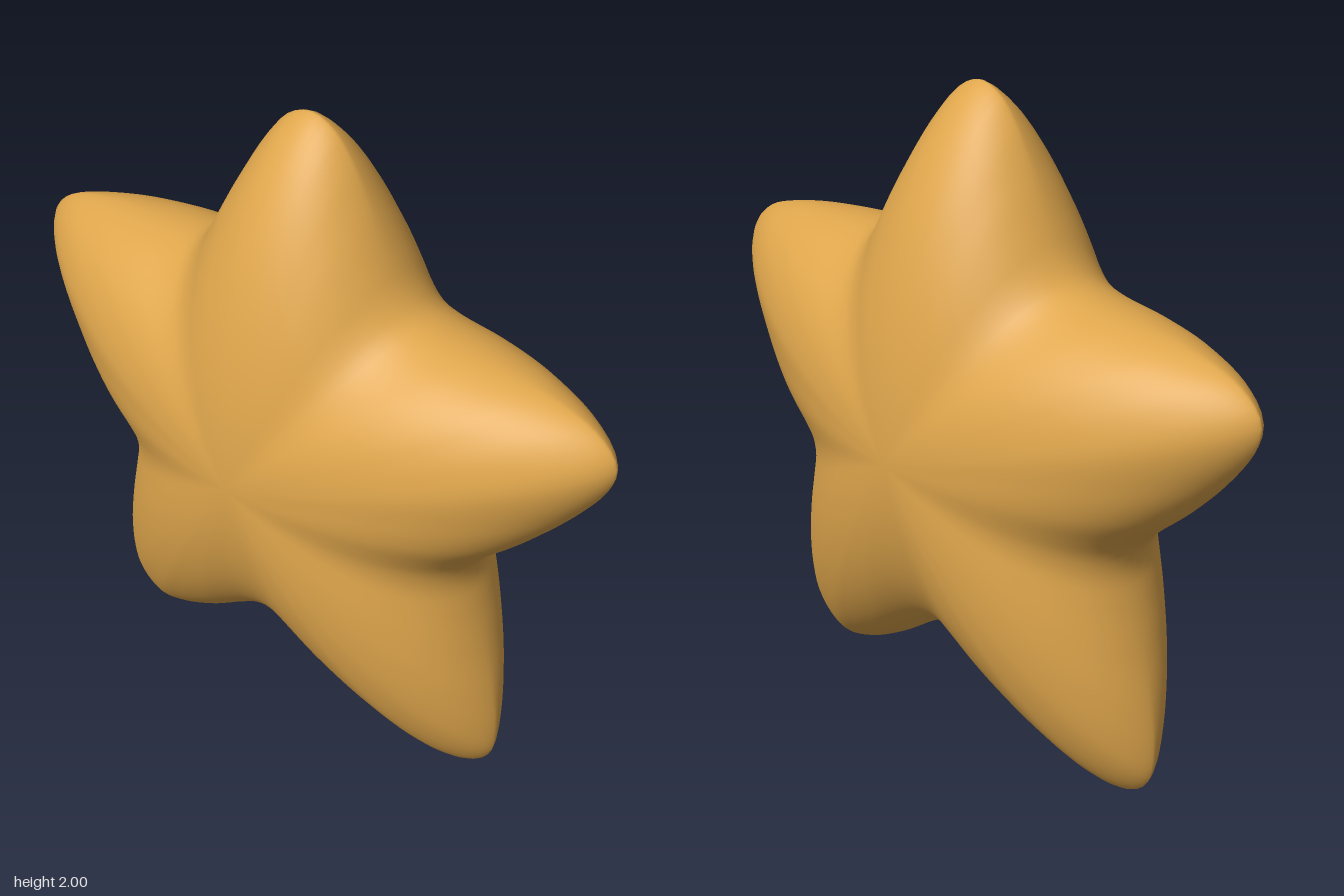
import * as THREE from 'three';

// Right half of the star outline, from the top tip down to the bottom notch
const HALF = [
  [0, 2], [0.07, 1.975], [0.13, 1.91], [0.2, 1.79], [0.27, 1.65], [0.31, 1.575], [0.36, 1.52],
  [0.43, 1.497], [0.6, 1.48], [0.78, 1.455], [0.92, 1.41], [0.985, 1.355], [1, 1.31], [0.98, 1.24],
  [0.9, 1.12], [0.78, 0.985], [0.66, 0.87], [0.615, 0.81], [0.6, 0.74], [0.615, 0.65], [0.65, 0.5],
  [0.69, 0.32], [0.705, 0.18], [0.695, 0.09], [0.655, 0.03], [0.59, 0.003], [0.48, 0.037],
  [0.33, 0.125], [0.18, 0.235], [0.09, 0.29], [0, 0.31],
];
const TIPS = [[0, 2], [0.99, 1.32], [0.64, 0.03], [-0.64, 0.03], [-0.99, 1.32]];
const CENTER_Y = 0.98;
const DEPTH = 0.38;

function starGeometry(around = 240, rings = 64) {
  const mirrored = HALF.slice(1, -1).reverse().map(([x, y]) => [-x, y]);
  const points = [...HALF, ...mirrored].map(([x, y]) => new THREE.Vector3(x, y, 0));
  const outline = new THREE.CatmullRomCurve3(points, true, 'centripetal').getSpacedPoints(around);

  // Arms taper more sharply along their ridge than beside it
  const tipDirs = TIPS.map(([x, y]) => new THREE.Vector2(x, y - CENTER_Y).normalize());
  const taper = outline.map((p) => {
    const dir = new THREE.Vector2(p.x, p.y - CENTER_Y).normalize();
    const angle = Math.min(...tipDirs.map((t) => Math.acos(Math.min(1, dir.dot(t)))));
    return 1 + 0.5 * Math.exp(-((angle / 0.23) ** 2));
  });

  // Scaled copies of the outline run from the front pole to the back pole
  const positions = [0, CENTER_Y, DEPTH];
  for (let i = 1; i < rings; i++) {
    const phi = (i / rings) * Math.PI;
    const s = Math.sin(phi);
    const c = i === rings / 2 ? 0 : Math.cos(phi);
    for (let j = 0; j < around; j++) {
      const p = outline[j];
      const z = Math.sign(c) * DEPTH * Math.abs(c) ** taper[j];
      positions.push(p.x * s, CENTER_Y + (p.y - CENTER_Y) * s, z);
    }
  }
  positions.push(0, CENTER_Y, -DEPTH);
  const last = positions.length / 3 - 1;

  const at = (i, j) => 1 + (i - 1) * around + (j % around);
  const index = [];
  for (let j = 0; j < around; j++) {
    index.push(0, at(1, j + 1), at(1, j));
    for (let i = 1; i < rings - 1; i++) {
      index.push(at(i, j), at(i + 1, j + 1), at(i + 1, j));
      index.push(at(i, j), at(i, j + 1), at(i + 1, j + 1));
    }
    index.push(last, at(rings - 1, j), at(rings - 1, j + 1));
  }

  const geometry = new THREE.BufferGeometry();
  geometry.setAttribute('position', new THREE.Float32BufferAttribute(positions, 3));
  geometry.setIndex(index);
  geometry.computeVertexNormals();
  return geometry;
}

export function createModel() {
  const group = new THREE.Group();
  group.name = 'puffyStar';
  const gold = new THREE.MeshStandardMaterial({ color: 0xdfa64c });
  gold.name = 'gold';
  const body = new THREE.Mesh(starGeometry(), gold);
  body.name = 'starBody';
  group.add(body);
  return group;
}
